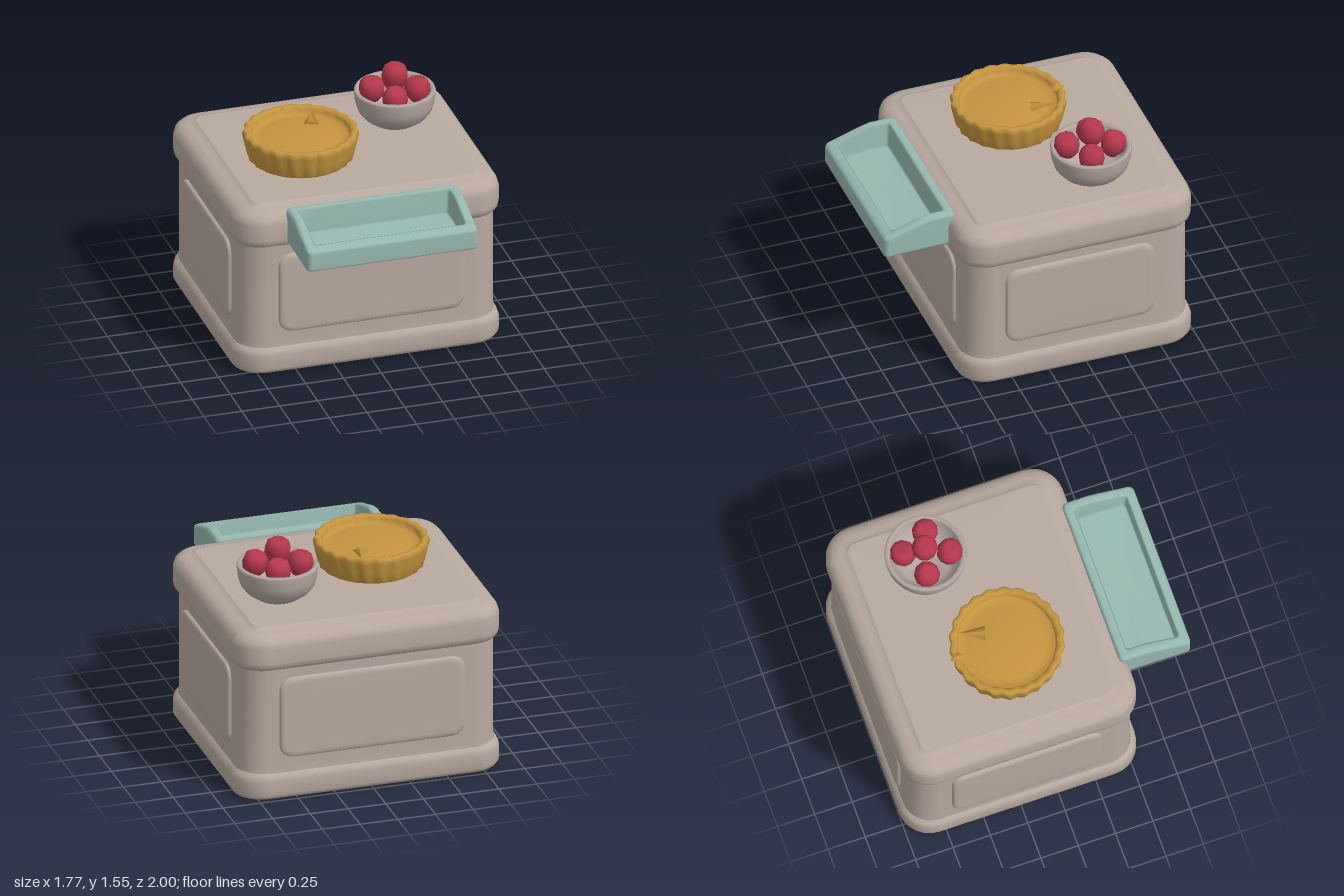
import * as THREE from 'three';

const mat = (name, color, side = THREE.FrontSide) => {
  const m = new THREE.MeshStandardMaterial({ color, side });
  m.name = name;
  return m;
};

// Outline of a rounded rectangle in the xz plane, with subdivided sides
function outline(w, d, r) {
  const pts = [], corners = [[1, 1], [-1, 1], [-1, -1], [1, -1]];
  corners.forEach(([sx, sz], k) => {
    for (let i = 0; i <= 6; i++) {
      const a = (k + i / 6) * Math.PI / 2;
      pts.push([sx * (w - r) + r * Math.cos(a), sz * (d - r) + r * Math.sin(a)]);
    }
    const last = pts[pts.length - 1];
    const [nx, nz] = corners[(k + 1) % 4];
    const a = (k + 1) * Math.PI / 2;
    const next = [nx * (w - r) + r * Math.cos(a), nz * (d - r) + r * Math.sin(a)];
    for (let i = 1; i < 6; i++) {
      pts.push([last[0] + (next[0] - last[0]) * i / 6, last[1] + (next[1] - last[1]) * i / 6]);
    }
  });
  return pts;
}

// Skin over rounded rectangles; rows are [height, inset]
function loft(w, d, r, rows, { top = true, bottom = false, bend } = {}) {
  const pos = [], idx = [];
  let n = 0;
  rows.forEach(([y, e]) => {
    const ring = outline(w - e, d - e, Math.max(r - e, 0.02));
    n = ring.length;
    ring.forEach(([x, z]) => pos.push(x, bend ? bend(y, z) : y, z));
  });
  for (let j = 0; j < rows.length - 1; j++) {
    for (let i = 0; i < n; i++) {
      const a = j * n + i, b = j * n + (i + 1) % n;
      idx.push(a, a + n, b, b, a + n, b + n);
    }
  }
  const cap = (j, up) => {
    const c = pos.length / 3, y = rows[j][0];
    pos.push(0, bend ? bend(y, 0) : y, 0);
    for (let i = 0; i < n; i++) {
      const a = j * n + i, b = j * n + (i + 1) % n;
      idx.push(c, up ? b : a, up ? a : b);
    }
  };
  if (top) cap(rows.length - 1, true);
  if (bottom) cap(0, false);
  const g = new THREE.BufferGeometry();
  g.setAttribute('position', new THREE.Float32BufferAttribute(pos, 3));
  g.setIndex(idx);
  g.computeVertexNormals();
  return g;
}

const lathe = (pts, seg) => new THREE.LatheGeometry(pts.map(p => new THREE.Vector2(...p)), seg);

export function createModel() {
  const model = new THREE.Group();
  const stone = mat('warm stone', 0xb9a99f, THREE.DoubleSide);
  const clay = mat('bowl clay', 0xb3a69f);
  const teal = mat('pale teal', 0x96b8b0);
  const crust = mat('golden crust', 0xc4943f);
  const red = mat('fruit red', 0xb5384b);

  const add = (name, geo, material, x = 0, y = 0, z = 0, parent = model) => {
    const m = new THREE.Mesh(geo, material);
    m.name = name;
    m.position.set(x, y, z);
    parent.add(m);
    return m;
  };

  // Hollow cabinet, open underneath
  const cz = -0.213, W = 0.885, D = 0.787;
  add('base', loft(W, D, 0.2, [
    [0, 0.05], [0.01, 0.02], [0.04, 0], [0.13, 0], [0.165, 0.012], [0.185, 0.04],
  ], { top: false }), stone, 0, 0, cz);
  add('body', loft(W - 0.03, D - 0.03, 0.18, [
    [0.17, 0], [0.22, 0.005], [0.84, 0.005], [0.91, 0.005],
  ], { top: false }), stone, 0, 0, cz);
  add('countertop', loft(W, D, 0.2, [
    [0.89, 0.05], [0.897, 0.025], [0.92, 0.005], [0.95, 0], [1.05, 0], [1.09, 0.012],
    [1.12, 0.045], [1.132, 0.09], [1.134, 0.125], [1.148, 0.137], [1.15, 0.15],
  ]), stone, 0, 0, cz);

  // Raised cushion panels on all four sides
  const panelRows = [[0, 0], [0.018, 0.003], [0.028, 0.015], [0.03, 0.04]];
  const panel = (name, halfW, x, z, turn) => {
    const g = loft(halfW, 0.275, 0.09, panelRows).rotateX(Math.PI / 2).rotateY(turn);
    add(name, g, stone, x, 0.555, z);
  };
  panel('frontPanel', 0.615, 0, cz + D - 0.04, 0);
  panel('backPanel', 0.615, 0, cz - D + 0.04, Math.PI);
  panel('leftPanel', 0.5, W - 0.04, -0.205, Math.PI / 2);
  panel('rightPanel', 0.5, -W + 0.04, -0.205, -Math.PI / 2);

  // Front tray whose rim slopes down towards the front
  const slope = (t, z) => {
    const rim = 1.15 - 0.1 * Math.max(0, (z + 0.05) / 0.29);
    return 0.91 + t * (rim - 0.91);
  };
  add('frontTray', loft(0.565, 0.24, 0.035, [
    [0, 0.02], [0.06, 0.003], [0.12, 0], [0.88, 0], [0.96, 0.006], [1, 0.02],
    [1, 0.055], [0.95, 0.068], [0.35, 0.075], [0.3, 0.085],
  ], { bottom: true, bend: slope }), teal, 0, 0, 0.76);

  // Pie with a fluted rim
  const pie = new THREE.Group();
  pie.name = 'pie';
  pie.position.set(-0.26, 0, -0.13);
  model.add(pie);
  const pieGeo = lathe([
    [0, 1.148], [0.31, 1.148], [0.33, 1.165], [0.345, 1.23], [0.36, 1.3], [0.362, 1.325],
    [0.35, 1.34], [0.325, 1.338], [0.312, 1.32], [0.305, 1.285], [0.25, 1.295], [0.12, 1.308], [0, 1.31],
  ], 88);
  const p = pieGeo.attributes.position;
  for (let i = 0; i < p.count; i++) {
    const x = p.getX(i), z = p.getZ(i);
    if (Math.hypot(x, z) < 0.32) continue;
    const k = 1 + 0.022 * Math.cos(22 * Math.atan2(z, x));
    p.setX(i, x * k);
    p.setZ(i, z * k);
  }
  pieGeo.computeVertexNormals();
  add('pieCrust', pieGeo, crust, 0, 0, 0, pie);
  const flake = add('crustFlake', new THREE.ConeGeometry(0.05, 0.17, 4), crust, 0.13, 1.315, -0.19, pie);
  flake.scale.z = 0.5;
  flake.rotation.set(-Math.PI / 2 + 0.15, 0, -0.3);
  add('crustTip', new THREE.ConeGeometry(0.05, 0.04, 4), crust, 0, 1.345, -0.33, pie);

  // Fruit bowl
  const bowl = new THREE.Group();
  bowl.name = 'fruitBowl';
  bowl.position.set(0.455, 0, -0.425);
  model.add(bowl);
  add('bowl', lathe([
    [0, 1.147], [0.13, 1.147], [0.15, 1.16], [0.2, 1.195], [0.235, 1.24], [0.251, 1.29],
    [0.26, 1.365], [0.255, 1.38], [0.235, 1.38], [0.225, 1.365], [0.21, 1.29], [0.15, 1.22], [0, 1.2],
  ], 28), clay, 0, 0, 0, bowl);

  // Faceted-looking round fruit piled in the bowl
  const fruitGeo = lathe([
    [0, -0.075], [0.045, -0.075], [0.075, -0.035], [0.084, 0.015], [0.07, 0.06], [0.04, 0.08], [0, 0.072],
  ], 10);
  [[0.04, 1.38, -0.135], [-0.14, 1.375, -0.04], [0.135, 1.375, 0.045],
    [-0.045, 1.375, 0.145], [0, 1.47, -0.005]].forEach(([x, y, z], i) => {
    const f = add('fruit' + (i + 1), fruitGeo, red, x, y, z, bowl);
    f.rotation.set(z * 1.6, i, -x * 1.6);
  });

  return model;
}
